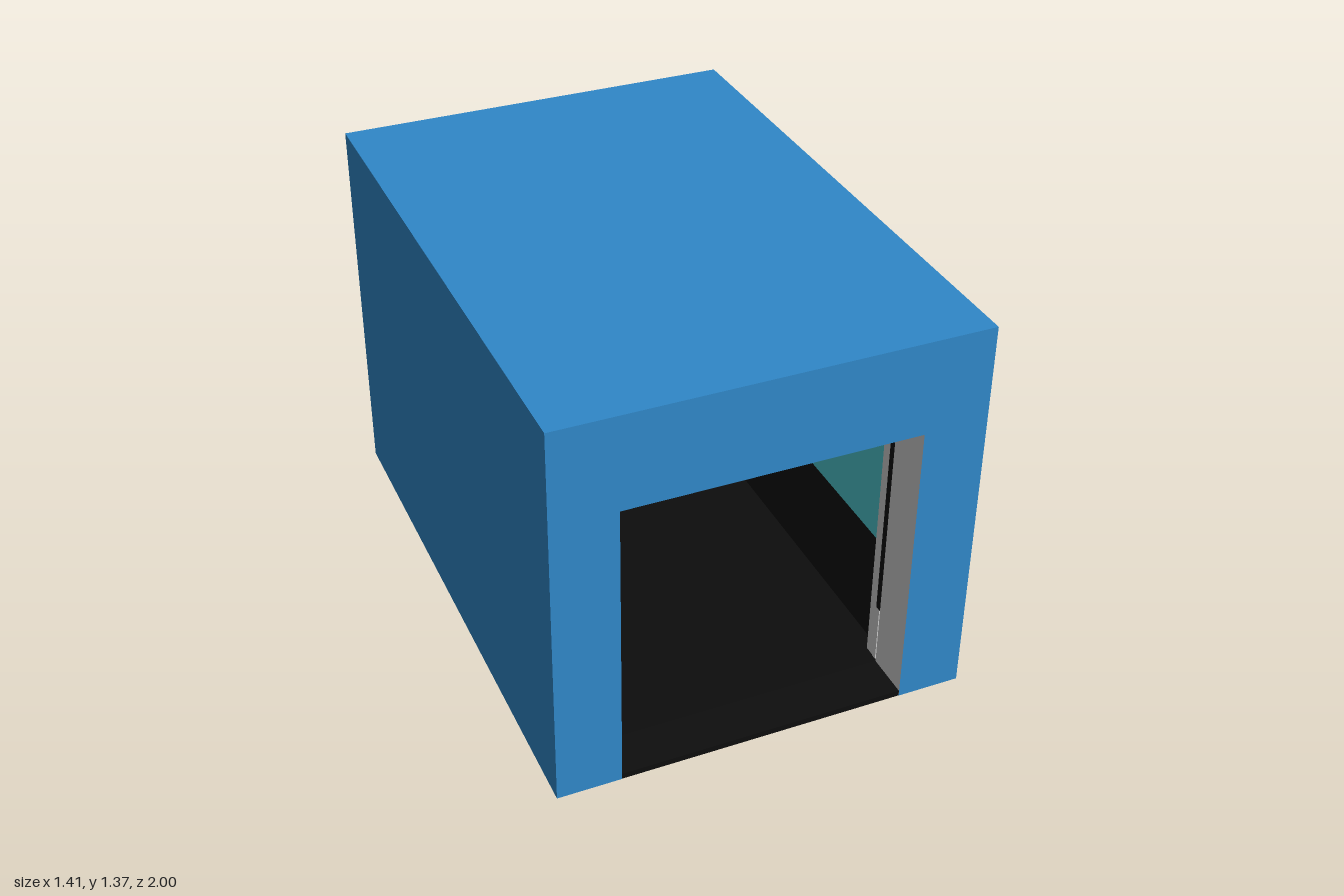
import * as THREE from 'three';

const W = 0.707, H = 1.365;          // outer half width and height
const DOOR_W = 0.49, DOOR_H = 1.04;  // doorway half width and height
const IN_W = 0.53, IN_TOP = 1.2;     // room half width and ceiling height
const FRONT_IN = 0.84, BACK_IN = -0.985;
const DADO = 0.435, FLOOR = 0.02;

const mat = (color) => new THREE.MeshStandardMaterial({ color, side: THREE.DoubleSide });

export function createModel() {
  const group = new THREE.Group();
  const blue = mat(0x3088c9), teal = mat(0x4dc4cc), black = mat(0x0d0d0d), grey = mat(0xcccccc);

  const add = (name, geometry, material, x = 0, y = 0, z = 0) => {
    const mesh = new THREE.Mesh(geometry, material);
    mesh.name = name;
    mesh.position.set(x, y, z);
    group.add(mesh);
    return mesh;
  };
  // Box given by its lower and upper corners
  const box = (name, material, [x0, y0, z0], [x1, y1, z1]) =>
    add(name, new THREE.BoxGeometry(x1 - x0, y1 - y0, z1 - z0), material,
      (x0 + x1) / 2, (y0 + y1) / 2, (z0 + z1) / 2);
  // Upright or lying sheet
  const sheet = (name, material, w, h, x, y, z, rx = 0, ry = 0) =>
    add(name, new THREE.PlaneGeometry(w, h), material, x, y, z).rotation.set(rx, ry, 0);

  // Front face with the doorway cut up from the ground
  const front = new THREE.Shape([
    [-W, 0], [-DOOR_W, 0], [-DOOR_W, DOOR_H], [DOOR_W, DOOR_H],
    [DOOR_W, 0], [W, 0], [W, H], [-W, H],
  ].map(([x, y]) => new THREE.Vector2(x, y)));
  add('frontFace', new THREE.ShapeGeometry(front), blue, 0, 0, 1);

  // Outer shell
  sheet('backFace', blue, 2 * W, H, 0, H / 2, -1, 0, Math.PI);
  sheet('roof', blue, 2 * W, 2, 0, H, 0, -Math.PI / 2);

  // Inside of the front wall, set back behind the doorway
  add('frontWallInside', new THREE.ShapeGeometry(front), teal, 0, 0, FRONT_IN);

  const roomLength = FRONT_IN - BACK_IN, roomMid = (FRONT_IN + BACK_IN) / 2;
  for (const s of [-1, 1]) {
    const side = s < 0 ? 'right' : 'left';
    const turn = s * Math.PI / 2;
    sheet(`${side}OuterWall`, blue, 2, H, s * W, H / 2, 0, 0, turn);

    // Room wall: blue foot strip, black dado, teal above
    const bands = [['FootStrip', blue, 0, FLOOR], ['Dado', black, FLOOR, DADO], ['UpperWall', teal, DADO, IN_TOP]];
    for (const [part, material, y0, y1] of bands)
      sheet(side + part, material, roomLength, y1 - y0, s * IN_W, (y0 + y1) / 2, roomMid, 0, -turn);

    // Underside of the hollow side wall and of the door pier
    sheet(`${side}WallBase`, teal, W - IN_W, 2, s * (W + IN_W) / 2, 0, 0, Math.PI / 2);
    sheet(`${side}PierBase`, teal, IN_W - DOOR_W, 1 - FRONT_IN,
      s * (IN_W + DOOR_W) / 2, 0, (1 + FRONT_IN) / 2, Math.PI / 2);

    // Doorway jamb, with dark seal and guide rail behind it
    sheet(`${side}Jamb`, grey, 1 - FRONT_IN, DOOR_H, s * DOOR_W, DOOR_H / 2, (1 + FRONT_IN) / 2, 0, -turn);
    const sx = (a, b) => (s < 0 ? [-b, -a] : [a, b]);
    const [r0, r1] = sx(0.495, 0.525);
    box(`${side}DoorRail`, grey, [r0, FLOOR, 0.77], [r1, 1.1, 0.81]);
    const [d0, d1] = sx(0.493, 0.527);
    box(`${side}DoorSeal`, black, [d0, 0.23, 0.81], [d1, 1.1, 0.838]);
    box(`${side}RailFoot`, grey, [d0, FLOOR, 0.81], [d1, 0.23, 0.83]);
  }

  // Doorway head
  sheet('doorHead', grey, 2 * DOOR_W, 1 - FRONT_IN, 0, DOOR_H, (1 + FRONT_IN) / 2, Math.PI / 2);

  // Far wall of the room
  sheet('backDado', black, 2 * IN_W, DADO, 0, DADO / 2, BACK_IN);
  sheet('backUpperWall', teal, 2 * IN_W, IN_TOP - DADO, 0, (IN_TOP + DADO) / 2, BACK_IN);

  // Ceiling, floor and threshold
  sheet('ceiling', teal, 2 * IN_W, roomLength, 0, IN_TOP, roomMid, Math.PI / 2);
  sheet('floor', black, 2 * IN_W, roomLength, 0, FLOOR, roomMid, -Math.PI / 2);
  box('threshold', black, [-DOOR_W, 0, FRONT_IN], [DOOR_W, FLOOR, 0.999]);

  return group;
}
